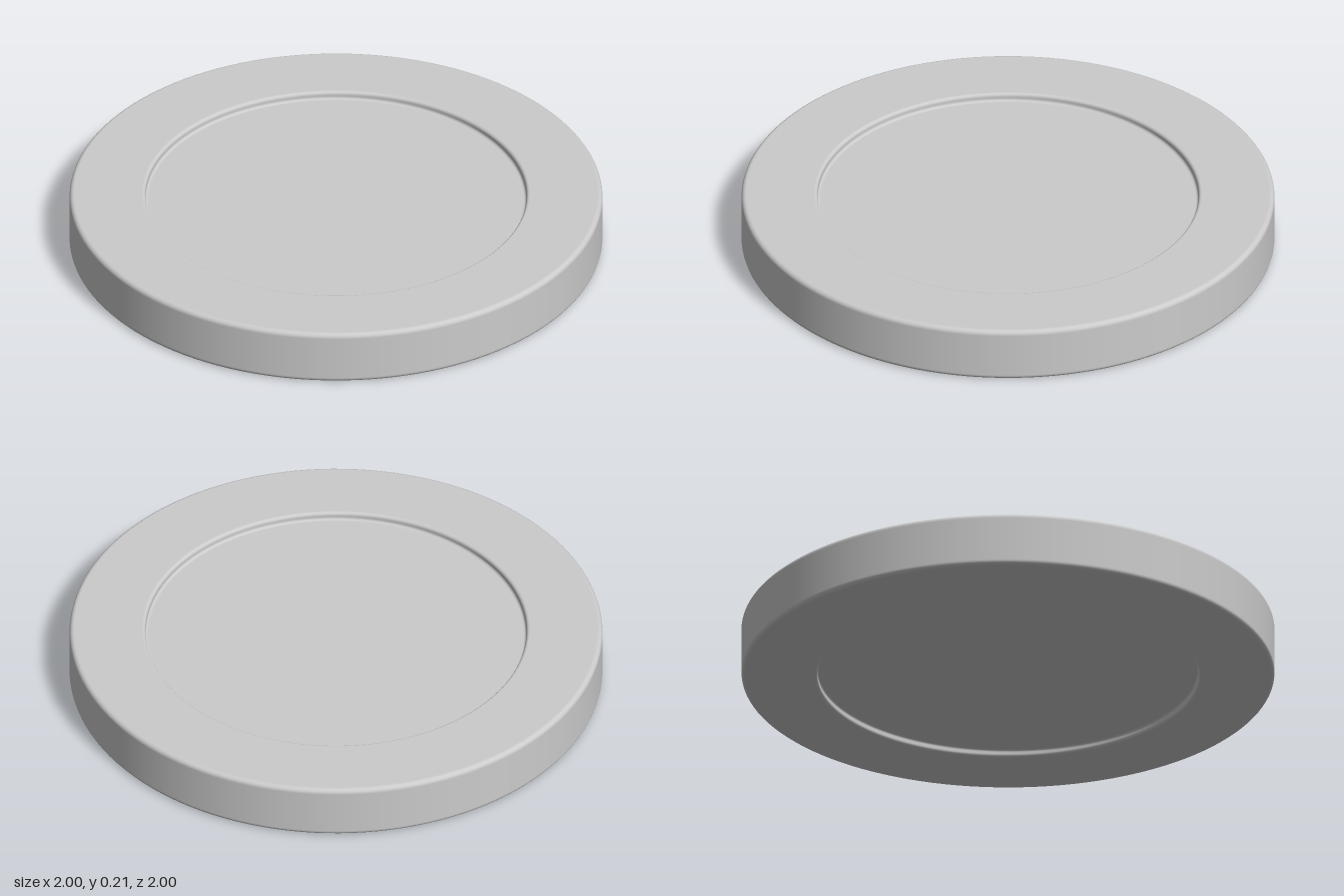
import * as THREE from 'three';

const HEIGHT = 0.21, RADIUS = 1, RECESS_RADIUS = 0.715, RECESS_DEPTH = 0.03;

// Rounds each inner corner of a polyline; extra points beside each arc keep the flats flat
function roundedProfile(corners) {
  const points = [new THREE.Vector2(...corners[0])];
  for (let i = 1; i < corners.length - 1; i++) {
    const [x, y, r] = corners[i];
    const corner = new THREE.Vector2(x, y);
    const along = (to, d) =>
      new THREE.Vector2(...to.slice(0, 2)).sub(corner).setLength(d).add(corner);
    const prev = corners[i - 1], next = corners[i + 1];
    // Circular arc between the two tangent points of a right-angled corner
    const a = along(prev, r), b = along(next, r);
    const centre = a.clone().add(b).sub(corner);
    const steps = 8;
    points.push(along(prev, r + 0.002));
    for (let s = 0; s <= steps; s++) {
      const t = (s / steps) * Math.PI / 2;
      points.push(new THREE.Vector2()
        .addScaledVector(a.clone().sub(centre), Math.cos(t))
        .addScaledVector(b.clone().sub(centre), Math.sin(t))
        .add(centre));
    }
    points.push(along(next, r + 0.002));
  }
  points.push(new THREE.Vector2(...corners[corners.length - 1]));
  return points;
}

export function createModel() {
  const group = new THREE.Group();
  group.name = 'disc';

  // Lower half of the section: recess floor, recess wall, rim, outer wall
  const lower = roundedProfile([
    [0, RECESS_DEPTH],
    [RECESS_RADIUS, RECESS_DEPTH, 0.01],
    [RECESS_RADIUS, 0, 0.012],
    [RADIUS, 0, 0.018],
    [RADIUS, HEIGHT / 2],
  ]);
  // Upper half mirrors it, so both faces are recessed
  const upper = lower.slice(0, -1).reverse()
    .map((p) => new THREE.Vector2(p.x, HEIGHT - p.y));

  const body = new THREE.Mesh(
    new THREE.LatheGeometry([...lower, ...upper], 128),
    new THREE.MeshStandardMaterial({ color: 0xcccccc }),
  );
  body.name = 'recessedDiscBody';
  group.add(body);
  return group;
}
